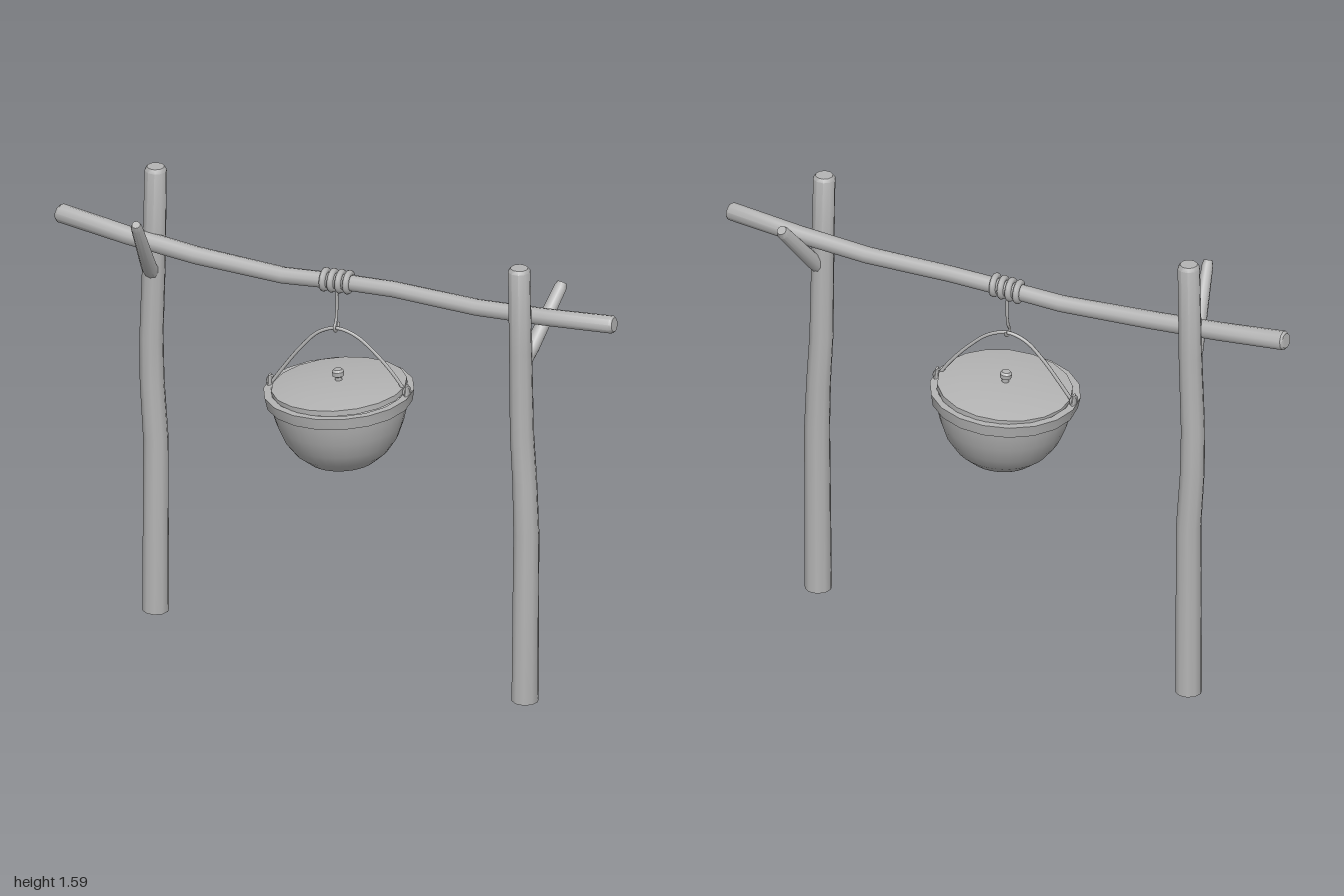
import * as THREE from 'three';
import { toCreasedNormals } from 'three/addons/utils/BufferGeometryUtils.js';

const grey = new THREE.MeshStandardMaterial({ color: 0xb4b4b4 });
grey.name = 'grey';
const V = (x, y, z) => new THREE.Vector3(x, y, z);

// Tapered limb through rows of [x, y, z, radius], closed at both ends
function limbGeometry(rows, sides = 10) {
  const p = rows.map(r => V(r[0], r[1], r[2]));
  const pos = [], idx = [];
  const axis = p[p.length - 1].clone().sub(p[0]).normalize();
  const ref = Math.abs(axis.y) > 0.9 ? V(1, 0, 0) : V(0, 1, 0);
  rows.forEach((r, i) => {
    const t = p[Math.min(i + 1, p.length - 1)].clone().sub(p[Math.max(i - 1, 0)]).normalize();
    const u = ref.clone().addScaledVector(t, -ref.dot(t)).normalize();
    const w = t.clone().cross(u);
    for (let j = 0; j < sides; j++) {
      const a = (j / sides) * Math.PI * 2;
      const q = p[i].clone().addScaledVector(u, Math.cos(a) * r[3]).addScaledVector(w, Math.sin(a) * r[3]);
      pos.push(q.x, q.y, q.z);
    }
  });
  for (let i = 0; i < rows.length - 1; i++) {
    for (let j = 0; j < sides; j++) {
      const a = i * sides + j, b = i * sides + (j + 1) % sides;
      idx.push(a, b, b + sides, a, b + sides, a + sides);
    }
  }
  const top = (rows.length - 1) * sides;
  for (let j = 1; j < sides - 1; j++) {
    idx.push(0, j + 1, j, top, top + j, top + j + 1);
  }
  const g = new THREE.BufferGeometry();
  g.setAttribute('position', new THREE.Float32BufferAttribute(pos, 3));
  g.setIndex(idx);
  return toCreasedNormals(g, 0.7);
}

function lathe(points, sides) {
  const g = new THREE.LatheGeometry(points.map(q => new THREE.Vector2(q[0], q[1])), sides);
  return toCreasedNormals(g, 0.55);
}

const wire = (points, radius, steps = 32) =>
  new THREE.TubeGeometry(new THREE.CatmullRomCurve3(points), steps, radius, 8);

export function createModel() {
  const model = new THREE.Group();
  model.name = 'campfirePotHanger';
  const add = (name, geometry, parent = model) => {
    const m = new THREE.Mesh(geometry, grey);
    m.name = name;
    parent.add(m);
    return m;
  };

  // Forked posts
  add('rightPost', limbGeometry([
    [-0.665, 0, -0.043, 0.044], [-0.665, 0.62, -0.043, 0.042], [-0.678, 0.82, -0.043, 0.041],
    [-0.68, 0.98, -0.042, 0.04], [-0.67, 1.25, -0.04, 0.039],
    [-0.664, 1.58, -0.04, 0.037], [-0.664, 1.593, -0.04, 0.029]]));
  add('leftPost', limbGeometry([
    [0.712, 0, 0.08, 0.045], [0.716, 0.6, 0.079, 0.043], [0.708, 0.78, 0.074, 0.041],
    [0.698, 0.95, 0.074, 0.04], [0.694, 1.25, 0.076, 0.038],
    [0.69, 1.535, 0.078, 0.037], [0.69, 1.546, 0.078, 0.029]]));
  add('rightBranch', limbGeometry([
    [-0.67, 1.2, -0.045, 0.026], [-0.667, 1.25, 0.005, 0.026],
    [-0.633, 1.47, 0.175, 0.019], [-0.631, 1.485, 0.184, 0.014]]));
  add('leftBranch', limbGeometry([
    [0.7, 1.2, 0.075, 0.026], [0.715, 1.25, 0.03, 0.026],
    [0.752, 1.41, -0.106, 0.022], [0.754, 1.424, -0.116, 0.016]]));

  // Crooked crossbar
  add('crossbar', limbGeometry([
    [-1, 1.373, -0.015, 0.025], [-0.992, 1.372, -0.014, 0.032], [-0.75, 1.345, -0.004, 0.031],
    [-0.5, 1.325, 0.004, 0.03], [-0.19, 1.313, 0.001, 0.028], [0.02, 1.328, -0.006, 0.027],
    [0.2, 1.336, -0.008, 0.027], [0.5, 1.333, -0.002, 0.028], [0.75, 1.35, 0.004, 0.029],
    [0.992, 1.374, 0.012, 0.03], [1, 1.375, 0.012, 0.024]]));

  // Rope wound round the crossbar
  for (let i = 0; i < 4; i++) {
    const turn = add('ropeTurn', new THREE.TorusGeometry(0.03, 0.011, 8, 20));
    turn.position.set(-0.042 + i * 0.028, 1.325 + i * 0.002, -0.005);
    turn.rotation.y = Math.PI / 2 + 0.06;
  }

  // Hook hanging from the rope
  add('hook', wire([V(0, 1.3, -0.004), V(0, 1.22, -0.004), V(0, 1.185, 0.004), V(0, 1.165, 0.016),
    V(0, 1.151, 0.004), V(0, 1.156, -0.012), V(0, 1.174, -0.02)], 0.005));

  // Bail handle
  add('handle', wire([V(-0.218, 0.935, 0.032), V(-0.185, 0.985, 0.026), V(-0.12, 1.075, 0.017),
    V(-0.06, 1.138, 0.008), V(0, 1.16, 0), V(0.065, 1.142, -0.008), V(0.135, 1.085, -0.017),
    V(0.2, 1.012, -0.026), V(0.24, 0.952, -0.032)], 0.006, 40));

  // Pot, leaning a little to one side
  const pot = new THREE.Group();
  pot.name = 'pot';
  pot.position.set(0.01, 0.925, 0);
  pot.rotation.set(0, 0.13, 0.052);
  model.add(pot);
  add('bowl', lathe([[0, -0.247], [0.06, -0.244], [0.115, -0.224], [0.155, -0.19],
    [0.187, -0.145], [0.208, -0.09], [0.22, -0.045], [0.225, -0.015]], 32), pot);
  add('rim', lathe([[0.215, -0.02], [0.24, -0.02], [0.247, 0.02], [0.222, 0.02],
    [0.21, 0.005], [0, 0.005]], 18), pot);
  for (const s of [-1, 1]) {
    const lug = add('lug', new THREE.CylinderGeometry(0.012, 0.026, 0.035, 8), pot);
    lug.scale.x = 0.35;
    lug.position.set(s * 0.233, 0.033, 0);
    const eye = add('handleEye', new THREE.TorusGeometry(0.014, 0.005, 6, 14), pot);
    eye.position.set(s * 0.232, 0.03, 0);
    eye.rotation.y = Math.PI / 2 - 0.5;
  }

  // Lid, resting unevenly on the rim
  const lid = new THREE.Group();
  lid.name = 'lid';
  lid.position.set(0.01, 0.96, 0);
  lid.rotation.z = 0.085;
  model.add(lid);
  add('lidPlate', lathe([[0, -0.02], [0.21, -0.02], [0.222, -0.018], [0.222, 0.001],
    [0.15, 0.011], [0.07, 0.016], [0, 0.017]], 18), lid);
  add('knob', lathe([[0.012, 0.01], [0.012, 0.028], [0.019, 0.032], [0.02, 0.047],
    [0.014, 0.054], [0, 0.055]], 14), lid);

  return model;
}
